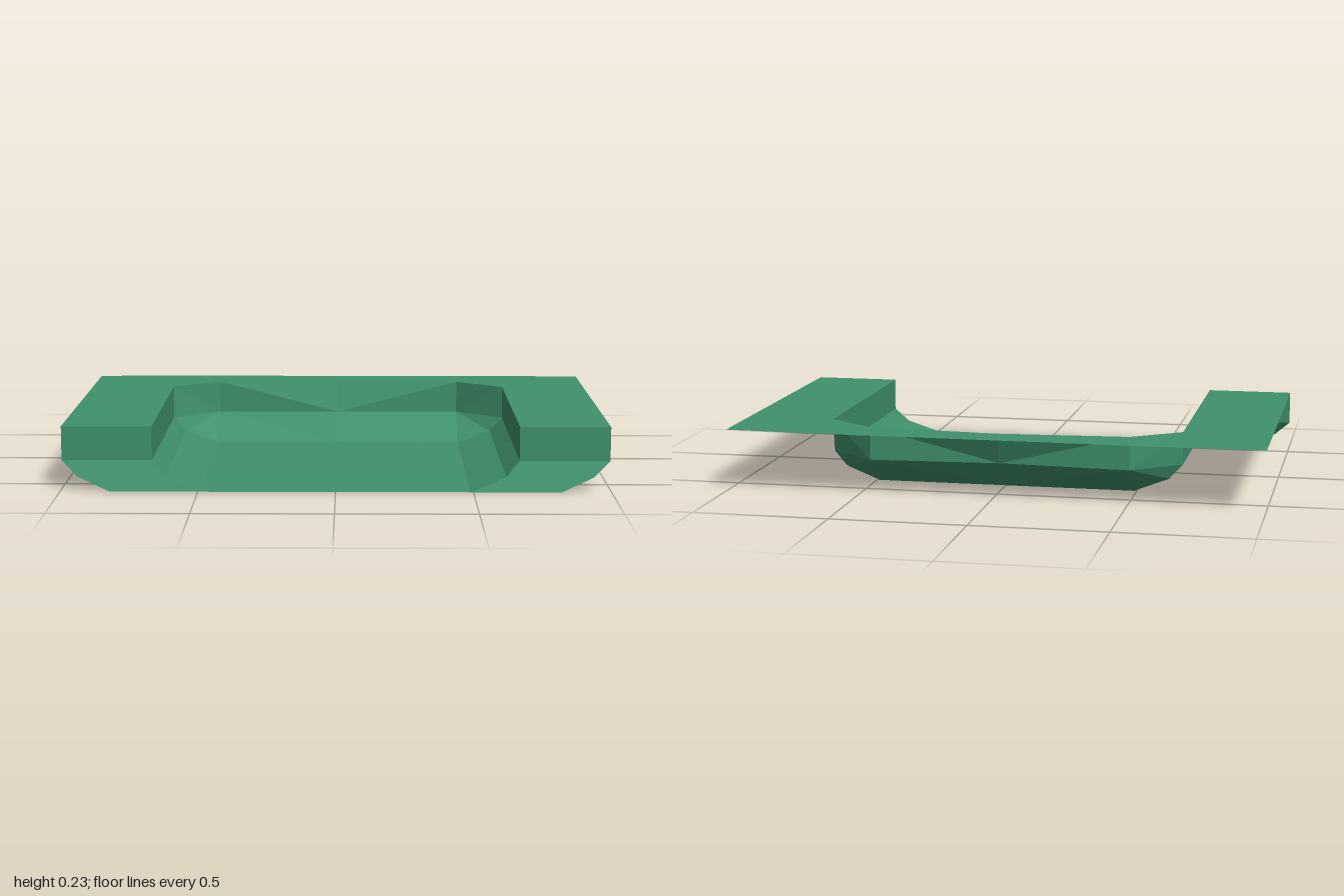
import * as THREE from 'three';

const TOP = 0.23;

export function createModel() {
  const model = new THREE.Group();
  model.name = 'recessedTray';
  const green = new THREE.MeshStandardMaterial({ color: 0x40916c, side: THREE.DoubleSide });
  green.name = 'green';

  const add = (name, geometry) => {
    const mesh = new THREE.Mesh(geometry, green);
    mesh.name = name;
    model.add(mesh);
  };

  // Flat-shaded sheet from convex polygons on the +x half, mirrored to -x
  const sheet = (polygons) => {
    const pos = [];
    for (const side of [1, -1]) {
      for (const poly of polygons) {
        for (let i = 1; i < poly.length - 1; i++) {
          const tri = side > 0 ? [poly[0], poly[i], poly[i + 1]] : [poly[0], poly[i + 1], poly[i]];
          for (const [x, y, z] of tri) pos.push(side * x, y, z);
        }
      }
    }
    const geometry = new THREE.BufferGeometry();
    geometry.setAttribute('position', new THREE.Float32BufferAttribute(pos, 3));
    geometry.computeVertexNormals();
    return geometry;
  };

  // Quads joining two rows of points
  const strip = (a, b) => a.slice(1).map((p, i) => [a[i], b[i], b[i + 1], p]);

  // Side profile of the recess, from rim to floor, at its front and rear ends
  const front = [[0.67, TOP, 0.58], [0.67, 0.105, 0.58], [0.62, 0.05, 0.609], [0.49, 0, 0.637]];
  const rear = [[0.67, TOP, -0.347], [0.67, 0.105, -0.331], [0.62, 0.05, -0.338], [0.49, 0, -0.345]];
  const outer = [[1, TOP, 0.58], [1, 0.105, 0.58], [0.94, 0.05, 0.609], [0.82, 0, 0.637]];

  // Rear wall points at the corner and on the centre line
  const cornerTop = [0.49, TOP, -0.477], cornerLow = [0.49, 0.105, -0.475];
  const midTop = [0, TOP, -0.511], midLow = [0, 0.108, -0.458];
  const floorMid = [0, 0, -0.345];

  // Rim plate with the recess cut out, open at the front
  const half = [
    [0.67, 0.58], [1, 0.58], [1, -0.63], [0.62, -0.64], [0.45, -0.64], [0, -0.637],
  ];
  const cut = [[0, -0.511], [0.49, -0.477], [0.67, -0.347]];
  const mirror = (pts) => pts.map(([x, z]) => [-x, z]).reverse();
  const outline = [...half, ...mirror(half).slice(1), ...mirror(cut), ...cut.slice(1)];
  const rim = new THREE.ShapeGeometry(
    new THREE.Shape(outline.map(([x, z]) => new THREE.Vector2(x, -z))));
  rim.rotateX(-Math.PI / 2);
  rim.translate(0, TOP, 0);
  add('rimPlate', rim);

  // Recess parts
  add('sideWalls', sheet(strip(front, rear)));
  add('floor', sheet([[front[3], rear[3], floorMid, [0, 0, 0.637]]]));
  add('rearWall', sheet([
    [rear[0], rear[1], cornerLow, cornerTop],
    [cornerTop, cornerLow, midLow, midTop],
  ]));
  add('rearSlope', sheet([
    [cornerLow, rear[1], rear[2], rear[3]],
    [cornerLow, rear[3], floorMid, midLow],
  ]));

  // Front lips either side of the opening
  add('frontLips', sheet(strip(front, outer).map((q) => q.reverse()).map((q) => [...q].reverse())));

  return model;
}
